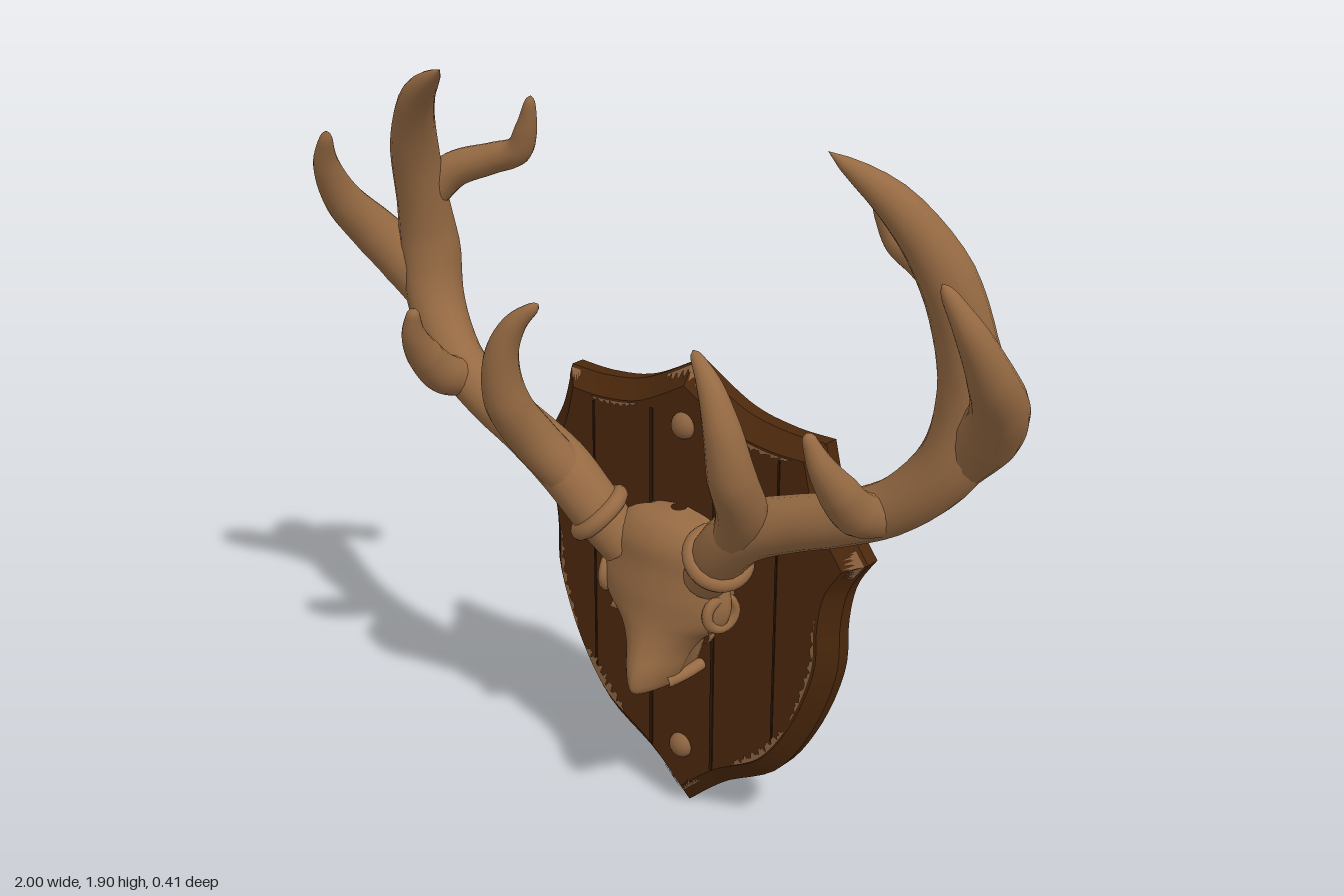
import * as THREE from 'three';
import { toCreasedNormals } from 'three/addons/utils/BufferGeometryUtils.js';

const bone = new THREE.MeshStandardMaterial({ name: 'bone', color: 0x966a43 });
const wood = new THREE.MeshStandardMaterial({ name: 'dark wood', color: 0x4b280c });
const seamDark = new THREE.MeshStandardMaterial({ name: 'seam', color: 0x2e1807 });
const worn = new THREE.MeshStandardMaterial({ name: 'worn wood', color: 0x8c6240, side: THREE.DoubleSide });

const V = (x, y, z) => new THREE.Vector3(x, y, z);
const BACK = -0.2, FRONT = -0.125, MID = -0.1625, INSET = 0.91, CY = 0.65;

function add(parent, name, geometry, material) {
  const mesh = new THREE.Mesh(geometry, material);
  mesh.name = name;
  parent.add(mesh);
  return mesh;
}

// Skin a list of closed rings, each running counterclockwise about the travel direction
function loft(rings) {
  const n = rings[0].length, index = [];
  for (let i = 0; i < rings.length - 1; i++) {
    for (let j = 0; j < n; j++) {
      const a = i * n + j, b = i * n + (j + 1) % n;
      index.push(a, b, a + n, b, b + n, a + n);
    }
  }
  const geometry = new THREE.BufferGeometry().setFromPoints(rings.flat());
  geometry.setIndex(index);
  geometry.computeVertexNormals();
  return geometry;
}

// Tapered horn through points [x, y, z, radius] with a rounded tip
function horn(points, side) {
  const curve = new THREE.CatmullRomCurve3(points.map(p => V(p[0] * side, p[1], p[2])));
  const steps = 48, sides = 16, last = points.length - 1, rings = [];
  let normal = V(0.2, 0.1, 1);
  for (let i = 0; i <= steps; i++) {
    const t = i / steps, k = Math.min(Math.floor(t * last), last - 1);
    let r = THREE.MathUtils.lerp(points[k][3], points[k + 1][3], t * last - k);
    if (t > 0.94) r *= Math.sqrt(Math.max(0.0004, 1 - ((t - 0.94) / 0.06) ** 2));
    const c = curve.getPoint(t), T = curve.getTangent(t);
    normal = normal.clone().addScaledVector(T, -normal.dot(T)).normalize();
    const binormal = T.clone().cross(normal);
    rings.push(Array.from({ length: sides }, (_, j) => {
      const a = j / sides * Math.PI * 2;
      return c.clone().addScaledVector(normal, r * Math.cos(a)).addScaledVector(binormal, r * Math.sin(a));
    }));
  }
  return loft(rings);
}

// Shield outline: four curved runs per half, meeting at sharp corners
function shieldShape() {
  const half = [
    [[0, 0], [0.12, 0.105], [0.28, 0.205], [0.385, 0.36], [0.45, 0.54], [0.455, 0.68], [0.475, 0.78], [0.525, 0.86]],
    [[0.525, 0.86], [0.475, 0.93], [0.425, 1.02], [0.395, 1.13]],
    [[0.395, 1.13], [0.28, 1.13], [0.15, 1.155], [0, 1.235]],
  ];
  const mirrored = half.map(run => run.map(([x, y]) => [-x, y]).reverse()).reverse();
  const shape = new THREE.Shape();
  shape.moveTo(0, 0);
  for (const run of [...half, ...mirrored]) {
    shape.splineThru(run.slice(1).map(([x, y]) => new THREE.Vector2(x, y)));
  }
  return shape;
}

// Ragged worn strip following the outline from t0 to t1, between two scales of the outline
function wearStrip(shape, t0, t1, s0, s1, back = false) {
  const n = 36, points = [], index = [];
  for (let i = 0; i <= n; i++) {
    const f = i / n, p = shape.getPoint(t0 + (t1 - t0) * f);
    const fade = Math.sin(Math.PI * f) ** 0.4;
    const rag = 0.55 + 0.25 * Math.sin(i * 1.3 + t0 * 40) + 0.2 * Math.sin(i * 2.9);
    const inner = s1 - (s1 - s0) * fade * rag;
    for (const s of [inner, s1]) {
      const slope = THREE.MathUtils.clamp((1 - s) / (1 - INSET), 0, 1);
      const z = back ? BACK - 0.003 : MID + (FRONT - MID) * slope + 0.004;
      points.push(V(p.x * s, CY + (p.y - CY) * s, z));
    }
    if (i < n) index.push(2 * i, 2 * i + 1, 2 * i + 2, 2 * i + 1, 2 * i + 3, 2 * i + 2);
  }
  const geometry = new THREE.BufferGeometry().setFromPoints(points);
  geometry.setIndex(index);
  geometry.computeVertexNormals();
  return geometry;
}

function buildShield() {
  const group = new THREE.Group();
  group.name = 'shield';
  const shape = shieldShape();

  // Board with a chamfered front edge
  const board = new THREE.ExtrudeGeometry(shape, { depth: FRONT - BACK, steps: 2, bevelEnabled: false, curveSegments: 4 });
  const pos = board.attributes.position;
  for (let i = 0; i < pos.count; i++) {
    const s = pos.getZ(i) > 0.07 ? INSET : 1;
    pos.setXYZ(i, pos.getX(i) * s, CY + (pos.getY(i) - CY) * s, pos.getZ(i) + BACK);
  }
  add(group, 'board', toCreasedNormals(board, 0.4), wood);

  // Plank seams
  for (const [x, low, high] of [[-0.1, 0.15, 1.1], [0.1, 0.15, 1.1], [-0.29, 0.31, 1.07], [0.29, 0.31, 1.07]]) {
    const width = Math.abs(x) < 0.2 ? 0.009 : 0.005;
    add(group, 'plankSeam', new THREE.BoxGeometry(width, high - low, 0.004), seamDark)
      .position.set(x, (low + high) / 2, FRONT + 0.001);
  }

  // Worn patches on the face rim, the chamfer and the back
  const wear = [
    [0.065, 0.14, 0.85, 0.905], [0.15, 0.25, 0.86, 0.9], [0.755, 0.85, 0.85, 0.9], [0.86, 0.925, 0.81, 0.9],
    [0.39, 0.465, 0.87, 0.905], [0.55, 0.6, 0.87, 0.905],
    [0.285, 0.31, 0.91, 0.99], [0.69, 0.715, 0.91, 0.99], [0.475, 0.525, 0.93, 0.99],
    [0.001, 0.025, 0.89, 0.94], [0.975, 0.999, 0.89, 0.94], [0.375, 0.392, 0.92, 0.99], [0.608, 0.625, 0.92, 0.99],
  ];
  for (const w of wear) add(group, 'wornEdge', wearStrip(shape, ...w), worn);
  for (const [a, b] of [[0.1, 0.14], [0.2, 0.23], [0.83, 0.88], [0.77, 0.79], [0.485, 0.515]]) {
    add(group, 'wornBackEdge', wearStrip(shape, a, b, 0.95, 0.985, true), worn);
  }
  for (const [y, r] of [[1.13, 0.016], [0.18, 0.018], [0.1, 0.022]]) {
    const dot = add(group, 'wornBackSpot', new THREE.CircleGeometry(r, 12), worn);
    dot.position.set(0, y, BACK - 0.003);
    dot.rotation.y = Math.PI;
  }

  // Domed bolts
  for (const y of [0.185, 1.08]) {
    const bolt = add(group, 'bolt', new THREE.SphereGeometry(0.034, 16, 10), worn);
    bolt.position.set(0, y, FRONT);
    bolt.scale.z = 0.75;
  }
  return group;
}

function buildSkull() {
  const group = new THREE.Group();
  group.name = 'skull';
  // Levels: half width, height, front depth; side profile: width and depth fractions
  const levels = new THREE.CatmullRomCurve3([
    V(0.005, 0.408, 0.03), V(0.045, 0.425, 0.068), V(0.07, 0.47, 0.068), V(0.095, 0.53, 0.045), V(0.13, 0.575, 0.03),
    V(0.185, 0.62, 0.02), V(0.205, 0.67, 0.015), V(0.195, 0.74, 0.005), V(0.175, 0.8, 0), V(0.12, 0.85, -0.03), V(0.02, 0.87, -0.09),
  ]);
  const profile = new THREE.SplineCurve([[0, 1], [0.35, 0.95], [0.75, 0.78], [1, 0.5], [0.85, 0.28], [0.8, 0]]
    .map(p => new THREE.Vector2(...p))).getPoints(14);
  const rings = levels.getPoints(40).map(l => {
    const right = profile.map(p => V(p.x * l.x, l.y, FRONT - 0.005 + p.y * (l.z - FRONT + 0.005)));
    const left = right.slice(1).reverse().map(p => V(-p.x, p.y, p.z));
    return [...right, ...left];
  });
  add(group, 'cranium', loft(rings), bone);

  for (const side of [-1, 1]) {
    // Eye socket rim and cheek bar
    const rim = add(group, 'eyeSocketRim', new THREE.TorusGeometry(0.04, 0.014, 8, 20), bone);
    rim.position.set(0.18 * side, 0.66, -0.055);
    rim.rotation.y = side * 1.25;
    add(group, 'cheekBar', horn([[0.15, 0.6, -0.02, 0.018], [0.125, 0.575, -0.07, 0.018], [0.1, 0.58, -0.13, 0.016]], side), bone);
    add(group, 'jawBar', horn([[0.05, 0.445, 0.0, 0.018], [0.06, 0.445, -0.06, 0.016], [0.065, 0.45, -0.13, 0.016]], side), bone);
  }
  return group;
}

function buildAntler(side) {
  const group = new THREE.Group();
  group.name = side > 0 ? 'leftAntler' : 'rightAntler';
  const parts = {
    mainBeam: [[0.13, 0.74, -0.06, 0.06], [0.2, 0.84, -0.025, 0.07], [0.29, 0.93, -0.01, 0.072], [0.42, 0.99, -0.015, 0.066],
      [0.55, 1.04, -0.02, 0.062], [0.68, 1.11, -0.04, 0.064], [0.785, 1.23, -0.07, 0.074], [0.815, 1.37, -0.085, 0.078],
      [0.807, 1.5, -0.06, 0.066], [0.775, 1.66, -0.01, 0.06], [0.69, 1.8, 0.05, 0.043], [0.555, 1.895, 0.1, 0.014]],
    browTine: [[0.27, 0.92, 0, 0.06], [0.325, 1.02, 0.06, 0.06], [0.345, 1.13, 0.125, 0.056], [0.335, 1.25, 0.15, 0.043],
      [0.295, 1.34, 0.145, 0.029], [0.232, 1.402, 0.125, 0.011]],
    secondTine: [[0.64, 1.07, -0.03, 0.05], [0.635, 1.11, 0.06, 0.052], [0.63, 1.18, 0.125, 0.045], [0.615, 1.25, 0.17, 0.03],
      [0.59, 1.325, 0.19, 0.013]],
    outerTine: [[0.79, 1.22, -0.085, 0.06], [0.875, 1.32, -0.06, 0.07], [0.93, 1.41, 0, 0.062], [0.95, 1.5, 0.075, 0.05],
      [0.935, 1.61, 0.14, 0.033], [0.885, 1.71, 0.175, 0.012]],
    innerTine: [[0.81, 1.5, -0.06, 0.05], [0.74, 1.58, -0.105, 0.046], [0.64, 1.62, -0.145, 0.039], [0.565, 1.65, -0.16, 0.035],
      [0.53, 1.71, -0.155, 0.028], [0.497, 1.8, -0.14, 0.011]],
  };
  for (const [name, points] of Object.entries(parts)) add(group, name, horn(points, side), bone);

  // Burr ring at the antler base
  const burr = add(group, 'burr', new THREE.TorusGeometry(0.068, 0.022, 10, 28), bone);
  burr.position.set(0.19 * side, 0.825, -0.03);
  burr.quaternion.setFromUnitVectors(V(0, 0, 1), V(0.55 * side, 0.7, 0.35).normalize());
  return group;
}

export function createModel() {
  const model = new THREE.Group();
  model.name = 'antlerMount';
  model.add(buildShield(), buildSkull(), buildAntler(1), buildAntler(-1));
  return model;
}
